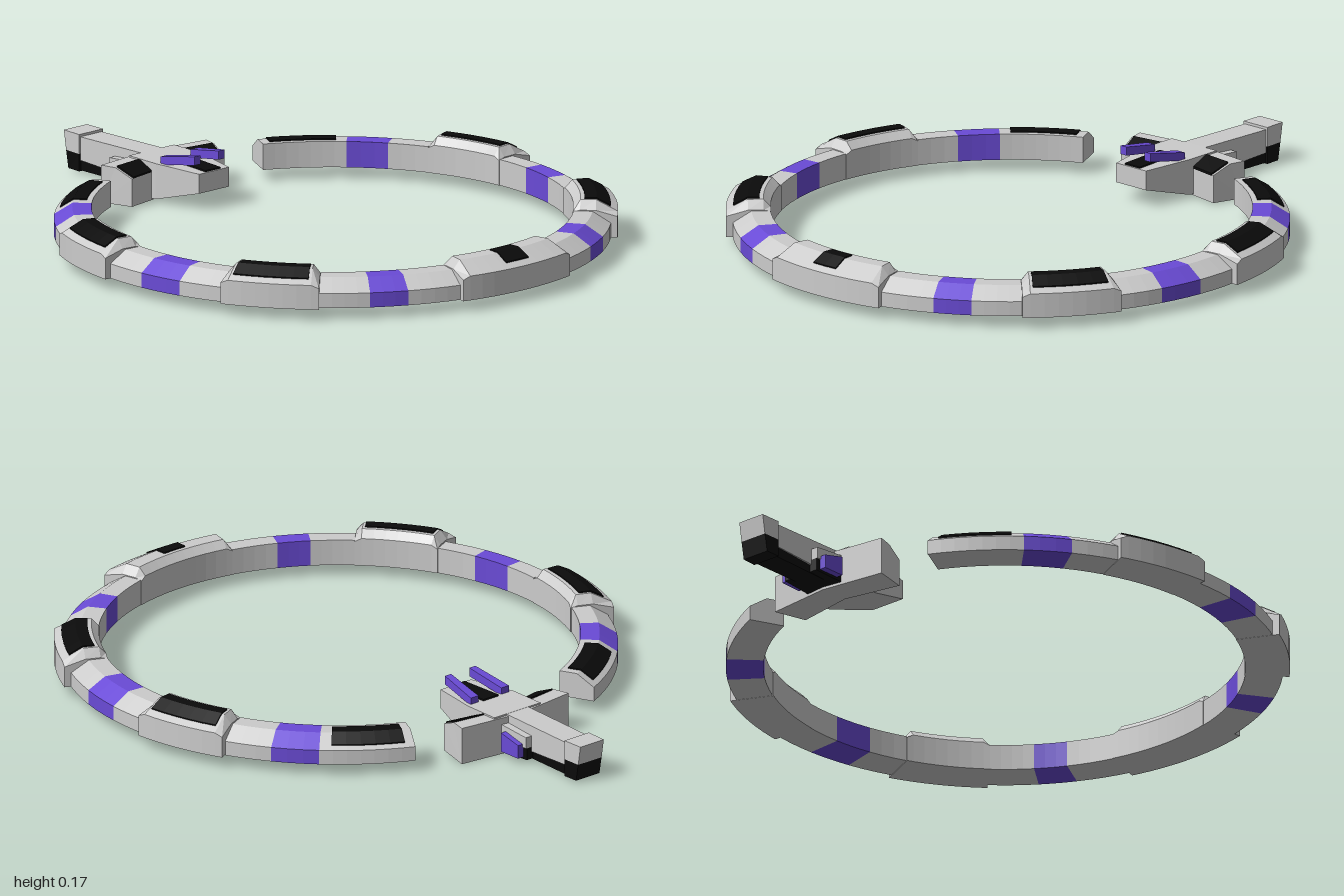
import * as THREE from 'three';

const flat = (name, color) => {
  const m = new THREE.MeshStandardMaterial({ color });
  m.name = name;
  return m;
};

// Solid through matching convex cross-sections, faceted, always facing outward
function loft(sections) {
  const tris = [];
  const n = sections[0].length;
  for (let i = 0; i < sections.length - 1; i++) {
    const a = sections[i], b = sections[i + 1];
    for (let j = 0; j < n; j++) {
      const k = (j + 1) % n;
      tris.push([a[j], a[k], b[k]], [a[j], b[k], b[j]]);
    }
  }
  const first = sections[0], last = sections[sections.length - 1];
  for (let j = 1; j < n - 1; j++) {
    tris.push([first[0], first[j + 1], first[j]], [last[0], last[j], last[j + 1]]);
  }
  let volume = 0;
  for (const [a, b, c] of tris) {
    volume += a[0] * (b[1] * c[2] - b[2] * c[1]) + a[1] * (b[2] * c[0] - b[0] * c[2]) + a[2] * (b[0] * c[1] - b[1] * c[0]);
  }
  const pos = [];
  for (const [a, b, c] of tris) pos.push(...a, ...(volume > 0 ? [...b, ...c] : [...c, ...b]));
  const g = new THREE.BufferGeometry();
  g.setAttribute('position', new THREE.Float32BufferAttribute(pos, 3));
  g.computeVertexNormals();
  return g;
}

const CENTRE_Z = 0.15;
// Ring profile points are [radius, height]; the angle runs from the front (+z) towards +x
const ringSection = (profile, deg) => {
  const t = THREE.MathUtils.degToRad(deg);
  return profile.map(([r, y]) => [r * Math.sin(t), y, CENTRE_Z + r * Math.cos(t)]);
};

const PLAIN = [[0.718, 0.035], [0.718, 0.115], [0.775, 0.115], [0.83, 0.08], [0.83, 0.035]];
const RAISED = [[0.716, 0.035], [0.716, 0.122], [0.738, 0.145], [0.785, 0.145], [0.85, 0.11], [0.85, 0.035]];
const RAISED_END = [[0.716, 0.035], [0.716, 0.112], [0.738, 0.118], [0.785, 0.118], [0.85, 0.1], [0.85, 0.035]];
const PANEL = [[0.75, 0.14], [0.75, 0.149], [0.786, 0.149], [0.828, 0.1265], [0.826, 0.118], [0.785, 0.14]];
const END_PANEL = [[0.735, 0.11], [0.735, 0.119], [0.776, 0.119], [0.816, 0.0935], [0.814, 0.086], [0.775, 0.11]];

function arc(profile, from, to, endProfile, taper = 1.6) {
  const a = endProfile ? from + taper : from, b = endProfile ? to - taper : to;
  const steps = Math.max(2, Math.round((b - a) / 3));
  const sections = [];
  if (endProfile) sections.push(ringSection(endProfile, from));
  for (let i = 0; i <= steps; i++) sections.push(ringSection(profile, a + ((b - a) * i) / steps));
  if (endProfile) sections.push(ringSection(endProfile, to));
  return loft(sections);
}

// Rectangle across x at a given z
const slab = (x0, x1, y0, y1, z) => [[x0, y0, z], [x1, y0, z], [x1, y1, z], [x0, y1, z]];

export function createModel() {
  const grey = flat('light grey', 0xcccccc);
  const purple = flat('purple', 0x6a4bd6);
  const black = flat('black', 0x0b0b0b);

  const model = new THREE.Group();
  model.name = 'segmentedRing';
  const ring = new THREE.Group();
  ring.name = 'ring';
  const hilt = new THREE.Group();
  hilt.name = 'hilt';
  model.add(ring, hilt);

  const add = (parent, name, geometry, material) => {
    const mesh = new THREE.Mesh(geometry, material);
    mesh.name = name;
    parent.add(mesh);
    return mesh;
  };

  // Front block of the ring
  add(ring, 'frontBlock', arc(RAISED, -14.5, 14.5, RAISED_END), grey);
  add(ring, 'frontInlay', arc(PANEL, -3.1, 3.1), black);

  // Both halves of the ring; side -1 mirrors the angles
  for (const side of [1, -1]) {
    const label = side > 0 ? 'left' : 'right';
    const put = (name, mat, profile, from, to, end) =>
      add(ring, label + name, arc(profile, Math.min(side * from, side * to), Math.max(side * from, side * to), end), mat);
    for (const [from, to] of [[14.5, 26], [34, 44.5], [65, 75], [85, 94.5], [115, 125], [135, 155]]) {
      put('Link', grey, PLAIN, from, to);
    }
    for (const [from, to] of [[26, 34], [75, 85], [125, 135]]) put('PurpleLink', purple, PLAIN, from, to);
    for (const mid of [54.7, 104.7]) {
      put('RaisedBlock', grey, RAISED, mid - 10.2, mid + 10.2, RAISED_END);
      put('Inlay', black, PANEL, mid - 8, mid + 8);
    }
    put('EndInlay', black, END_PANEL, 137.5, 153);
  }

  // Crossguard: s runs from -1 (right tip) to 1 (left tip), swept forward at the tips
  const guardSection = (s) => {
    const k = Math.abs(s);
    const rear = 0.21 * s, front = 0.185 * s;
    const zr = -0.675 + 0.025 * k, zm = -0.625 + 0.025 * k, zf = -0.575 + 0.035 * k;
    return [[rear, 0, zr], [rear, 0.115, zr], [(rear + front) / 2, 0.115, zm], [front, 0.09, zf], [front, 0.004, zf]];
  };
  add(hilt, 'crossguard', loft([-1, 0, 1].map(guardSection)), grey);
  for (const side of [1, -1]) {
    const strip = (s) => {
      const [, , m, f] = guardSection(s * side);
      const up = (p, d) => [p[0], p[1] + d, p[2]];
      return [up(m, -0.003), up(m, 0.005), up(f, 0.005), up(f, -0.003)];
    };
    add(hilt, 'guardInlay', loft([strip(0.46), strip(0.96)]), black);
  }

  // Tapered nose pointing into the ring
  add(hilt, 'nose', loft([
    slab(-0.09, 0.09, 0.002, 0.12, -0.66),
    slab(-0.09, 0.09, 0.01, 0.12, -0.54),
    slab(-0.06, 0.06, 0.055, 0.115, -0.38),
  ]), grey);
  add(hilt, 'noseInlay', loft([
    slab(-0.03, 0.03, 0.117, 0.125, -0.54),
    slab(-0.03, 0.03, 0.112, 0.12, -0.385),
  ]), black);
  for (const s of [1, -1]) {
    add(hilt, 'noseFin', loft([
      slab(s * 0.045, s * 0.075, 0.115, 0.14, -0.535),
      slab(s * 0.036, s * 0.06, 0.138, 0.165, -0.4),
    ]), purple);
  }

  // Grip: grey beam over a black keel, with an end block
  add(hilt, 'gripBeam', loft([
    slab(-0.043, 0.043, 0.03, 0.12, -0.64),
    slab(-0.043, 0.043, 0.04, 0.112, -0.94),
  ]), grey);
  add(hilt, 'gripKeel', loft([
    slab(-0.035, 0.035, 0.01, 0.05, -0.66),
    slab(-0.04, 0.04, 0.008, 0.055, -0.94),
  ]), black);
  const endBlock = (y0, y1, z0, z1) => loft([
    slab(-0.048, 0.048, y0, y1, -0.93),
    [[-0.046, y0, z0], [0.046, y0, z0], [0.046, y1, z1], [-0.046, y1, z1]],
  ]);
  add(hilt, 'endBlockTop', endBlock(0.06, 0.12, -0.99, -1), grey);
  add(hilt, 'endBlockBase', endBlock(0.006, 0.06, -0.98, -0.99), black);

  // Clamp around the grip with purple side plates
  add(hilt, 'clampTop', loft([slab(-0.068, 0.068, 0.05, 0.095, -0.66), slab(-0.066, 0.066, 0.05, 0.085, -0.775)]), grey);
  add(hilt, 'clampBase', loft([slab(-0.066, 0.066, 0.008, 0.05, -0.66), slab(-0.062, 0.062, 0.012, 0.05, -0.775)]), black);
  for (const s of [1, -1]) {
    add(hilt, 'clampPlate', loft([
      slab(s * 0.06, s * 0.086, 0.018, 0.078, -0.685),
      slab(s * 0.06, s * 0.084, 0.018, 0.06, -0.76),
    ]), purple);
  }
  return model;
}
